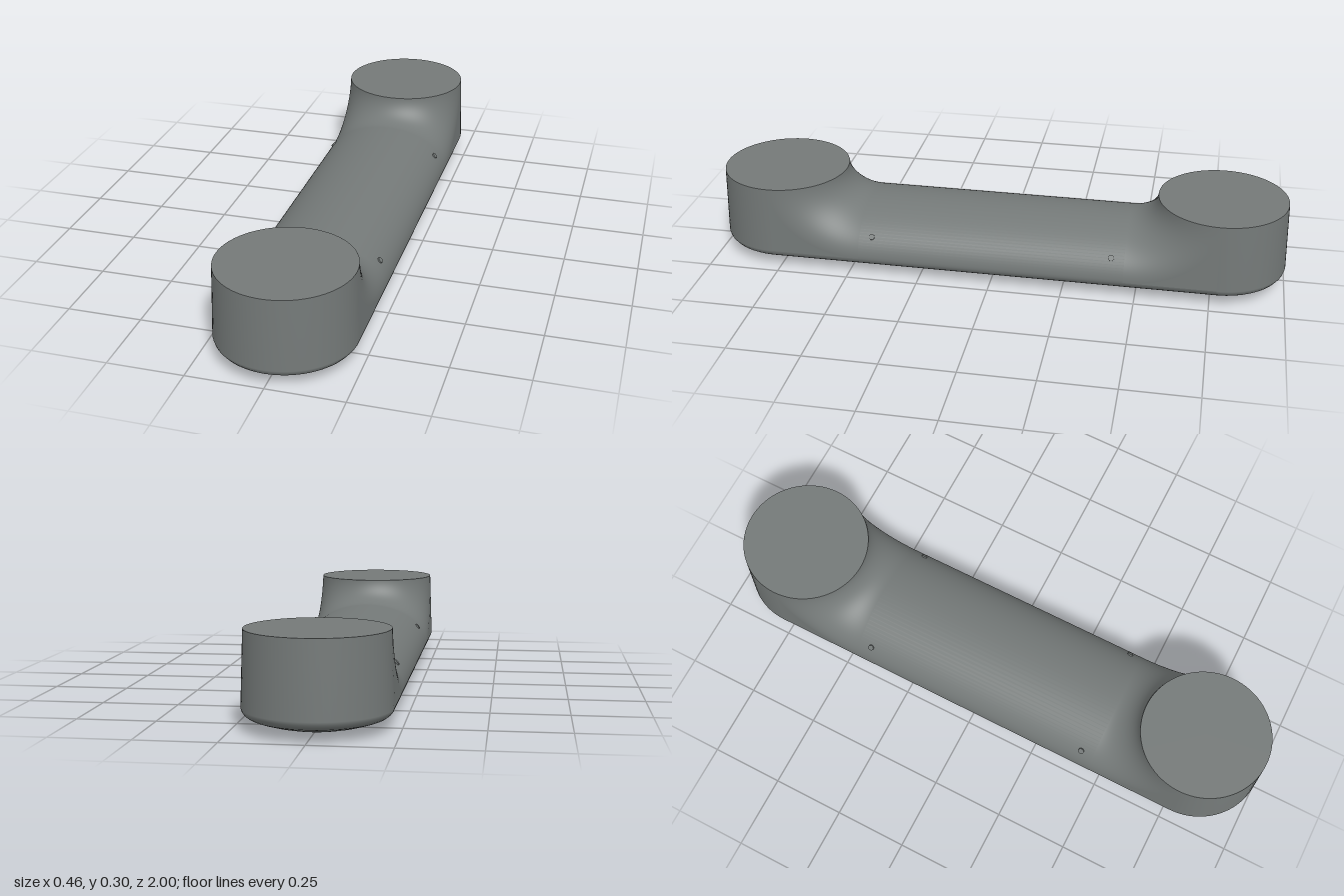
import * as THREE from 'three';
import { toCreasedNormals } from 'three/addons/utils/BufferGeometryUtils.js';
import { ParametricGeometry } from 'three/addons/geometries/ParametricGeometry.js';

const R = 0.228, TOP_R = 0.22, TOP_Y = 0.3; // end post radii and height
const ZC = 0.772, LAND_Z = 0.46;            // post centre, where the blend meets the beam
const ARCH_Y = 0.065, ARCH_H = 0.149;       // beam arch
// crowned underside with a rounded rim, from the centre line outwards
const UNDER = [[0, 0], [0.04, 0.0015], [0.08, 0.006], [0.12, 0.013], [0.16, 0.023], [0.195, 0.034],
  [0.208, 0.039], [0.218, 0.046], [0.225, 0.055], [R, ARCH_Y]];

// Concave curve from the post's top rim down onto the beam, at angle a around the post
function blendPoint(a, t, target) {
  const s = Math.sin(a), c = Math.cos(a), y = ARCH_Y + ARCH_H * c, k = 0.56;
  const rim = new THREE.Vector3(TOP_R * s, TOP_Y, ZC - TOP_R * c);
  const corner = new THREE.Vector3(R * s, y, ZC - R * c);
  const land = new THREE.Vector3(R * s, y, LAND_Z);
  const curve = new THREE.CubicBezierCurve3(rim, rim.clone().lerp(corner, k), land.clone().lerp(corner, k), land);
  return curve.getPoint(t, target);
}

export function createModel() {
  const model = new THREE.Group();
  model.name = 'armLink';
  const mat = new THREE.MeshStandardMaterial({ color: 0x747978, side: THREE.DoubleSide });
  const add = (parent, name, geo) => {
    const mesh = new THREE.Mesh(geo, mat);
    mesh.name = name;
    parent.add(mesh);
    return mesh;
  };

  // Beam: arched top, crowned underside
  const pts = UNDER.map(([x, y]) => new THREE.Vector2(x, y));
  for (let i = 1; i < 48; i++) {
    const a = (i / 48) * Math.PI;
    pts.push(new THREE.Vector2(R * Math.cos(a), ARCH_Y + ARCH_H * Math.sin(a)));
  }
  UNDER.slice(1).reverse().forEach(([x, y]) => pts.push(new THREE.Vector2(-x, y)));
  const beam = new THREE.ExtrudeGeometry(new THREE.Shape(pts), { depth: 2 * ZC, bevelEnabled: false });
  beam.translate(0, 0, -ZC);
  add(model, 'beam', toCreasedNormals(beam, 0.6));

  // Both ends are the same, turned half around
  for (let i = 0; i < 2; i++) {
    const end = new THREE.Group();
    end.name = i ? 'backEnd' : 'frontEnd';
    end.rotation.y = i * Math.PI;
    model.add(end);

    const profile = [...UNDER, [TOP_R, TOP_Y]].map(([x, y]) => new THREE.Vector2(x, y));
    add(end, 'post', new THREE.LatheGeometry(profile, 80)).position.z = ZC;
    const cap = add(end, 'postCap', new THREE.CircleGeometry(TOP_R, 80));
    cap.rotation.x = -Math.PI / 2;
    cap.position.set(0, TOP_Y, ZC);

    add(end, 'blend', new ParametricGeometry(
      (u, v, p) => blendPoint((u - 0.5) * Math.PI, v, p), 48, 20));

    for (const side of [-1, 1]) {
      // Flat web closing the blend against the side of the post
      const corner = new THREE.Vector3(side * R, ARCH_Y, ZC);
      const web = new ParametricGeometry((u, v, p) => {
        blendPoint(side * Math.PI / 2, v, p);
        p.lerp(corner, side > 0 ? u : 1 - u);
      }, 4, 20);
      web.computeVertexNormals();
      add(end, 'blendSide', web);

      // Small pin flush with the beam's shoulder
      const pin = add(end, 'pin', new THREE.CylinderGeometry(0.01, 0.01, 0.012, 20));
      pin.position.set(side * 0.197, 0.138, 0.415);
      pin.rotation.z = -side * 0.86;
    }
  }
  return model;
}
